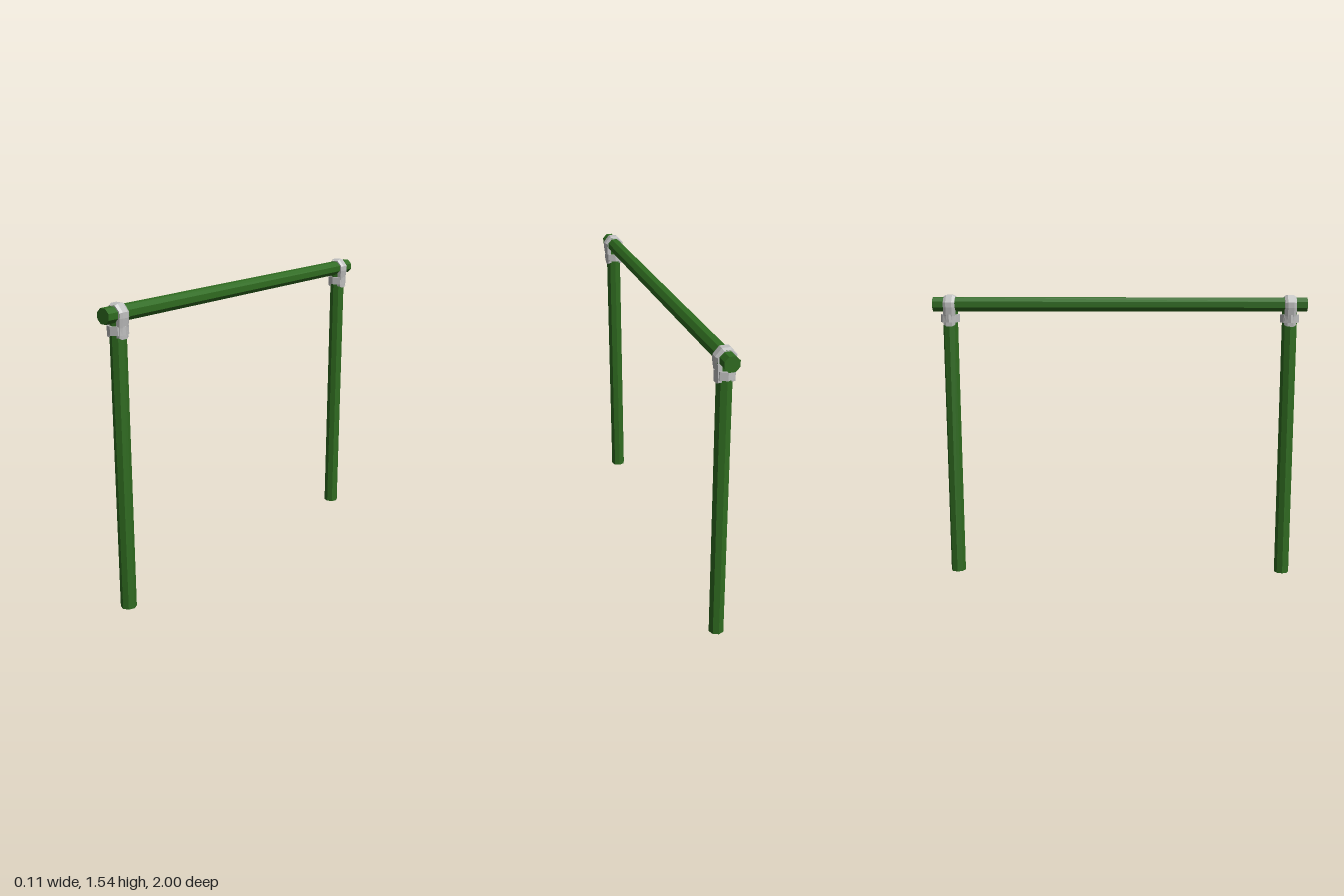
import * as THREE from 'three';

const green = new THREE.MeshStandardMaterial({ color: 0x2f6b20 });
green.name = 'greenPaint';
const grey = new THREE.MeshStandardMaterial({ color: 0xc0c0c0 });
grey.name = 'greyMetal';

function part(name, geometry, material, parent, x = 0, y = 0, z = 0) {
  const flat = geometry.index ? geometry.toNonIndexed() : geometry;
  flat.computeVertexNormals();
  const mesh = new THREE.Mesh(flat, material);
  mesh.name = name;
  mesh.position.set(x, y, z);
  parent.add(mesh);
  return mesh;
}

// Bent strap: a U turned upside down, hugging the rail and gripping the post
function strapGeometry() {
  const outer = [[0.043, 1.375], [0.046, 1.43], [0.053, 1.475], [0.053, 1.503], [0.021, 1.54]];
  const inner = [[0.016, 1.523], [0.036, 1.503], [0.036, 1.475], [0.034, 1.43], [0.032, 1.375]];
  const mirror = (list) => list.map(([x, y]) => [-x, y]).reverse();
  const points = [...outer, ...mirror(outer), ...mirror(inner), ...inner];
  const shape = new THREE.Shape(points.map(([x, y]) => new THREE.Vector2(x, y)));
  const geometry = new THREE.ExtrudeGeometry(shape, {
    depth: 0.032, bevelEnabled: true, bevelSegments: 1,
    bevelThickness: 0.015, bevelSize: 0.008, bevelOffset: -0.008,
  });
  return geometry.translate(0, 0, -0.016);
}

export function createModel() {
  const model = new THREE.Group();
  model.name = 'railFrame';

  // Horizontal rail with flats on top and sides
  const railGeometry = new THREE.CylinderGeometry(0.04, 0.04, 2, 8)
    .rotateY(Math.PI / 8).rotateX(Math.PI / 2);
  part('topRail', railGeometry, green, model, 0, 1.49, 0);

  for (const [end, z] of [['front', 0.91], ['back', -0.91]]) {
    part(end + 'Post', new THREE.CylinderGeometry(0.04, 0.04, 1.47, 8), green, model, 0, 0.735, z);

    // Clamp joining post and rail
    const clamp = new THREE.Group();
    clamp.name = end + 'Clamp';
    clamp.position.z = z;
    model.add(clamp);
    part(end + 'Strap', strapGeometry(), grey, clamp);
    part(end + 'Collar', new THREE.CylinderGeometry(0.051, 0.051, 0.042, 8), grey, clamp, 0, 1.416, 0);
  }
  return model;
}
